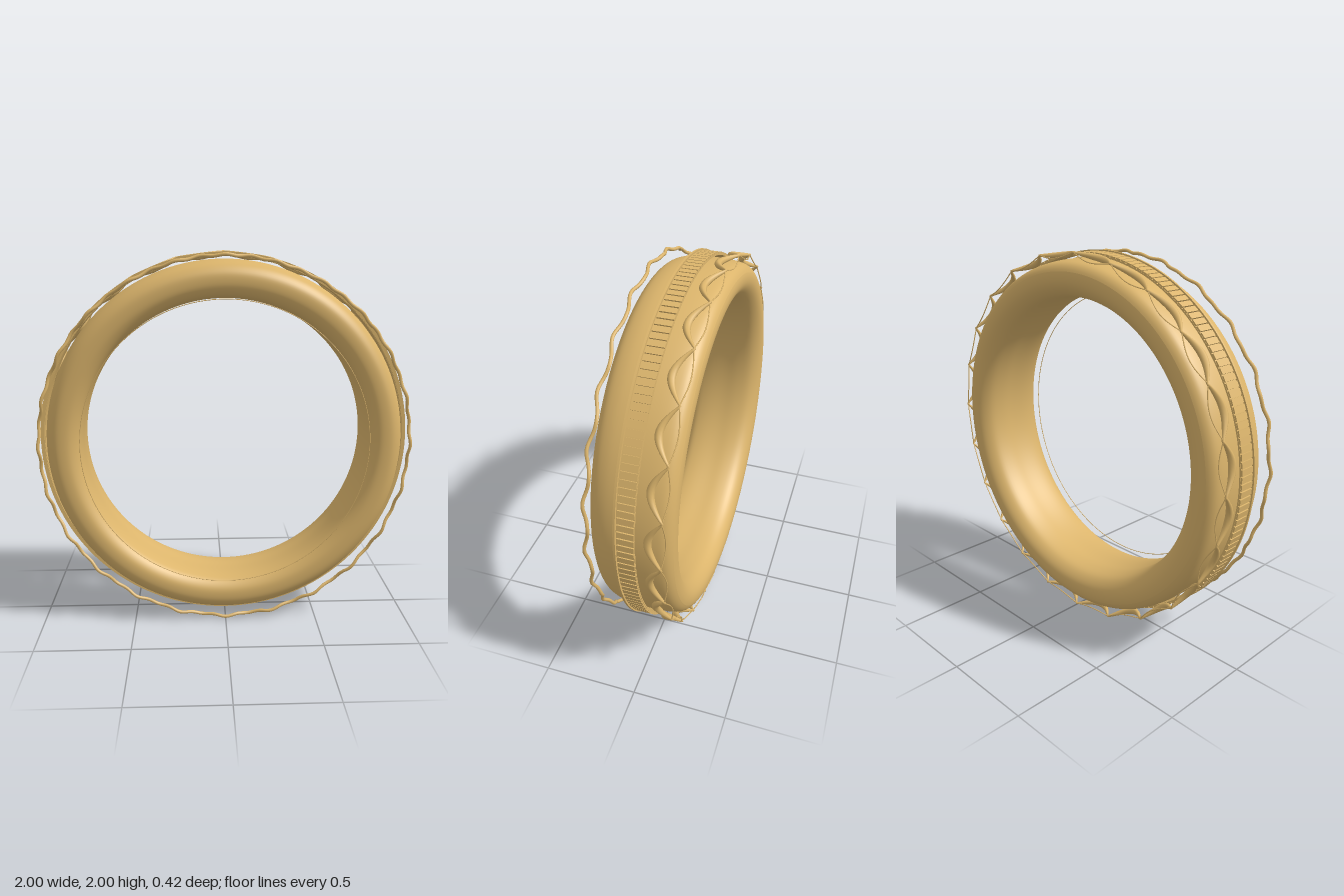
import * as THREE from 'three';
import { mergeGeometries } from 'three/addons/utils/BufferGeometryUtils.js';

const WAVES = 24;

// Turn a closed (radius, z) outline about the z axis
function turned(points, segments = 192) {
  const g = new THREE.LatheGeometry(points, segments);
  g.rotateX(Math.PI / 2);
  return g;
}

// Rectangular hoop with crisp edges: outer, front, inner and back faces
function hoop(r0, r1, z0, z1) {
  const c = [[r1, z0], [r1, z1], [r0, z1], [r0, z0]].map(p => new THREE.Vector2(...p));
  return mergeGeometries(c.map((p, i) => turned([p, c[(i + 1) % 4]])));
}

// Closed strand round the z axis; rule(t) gives centre r, z and half thicknesses,
// where t runs 0..1 along each wave
function strand(rule, perWave = 16, sides = 8) {
  const n = WAVES * perWave, pos = [], idx = [];
  for (let i = 0; i < n; i++) {
    const u = i / n * Math.PI * 2;
    const { r, z, hr, hz } = rule((i % perWave) / perWave);
    for (let j = 0; j < sides; j++) {
      const v = j / sides * Math.PI * 2, rad = r + hr * Math.cos(v);
      pos.push(rad * Math.cos(u), rad * Math.sin(u), z + hz * Math.sin(v));
      const i2 = (i + 1) % n, j2 = (j + 1) % sides;
      const a = i * sides + j, b = i2 * sides + j, c = i2 * sides + j2, d = i * sides + j2;
      idx.push(a, b, c, a, c, d);
    }
  }
  const g = new THREE.BufferGeometry();
  g.setAttribute('position', new THREE.Float32BufferAttribute(pos, 3));
  g.setIndex(idx);
  g.computeVertexNormals();
  return g;
}

export function createModel() {
  const gold = new THREE.MeshStandardMaterial({ color: 0xdcb56c });
  gold.name = 'gold';
  const model = new THREE.Group();
  model.name = 'ring';
  const add = (name, geometry) => {
    const m = new THREE.Mesh(geometry, gold);
    m.name = name;
    m.position.y = 1;
    model.add(m);
  };

  // Rounded body of the ring
  const outline = [
    [0.90, -0.203], [0.935, -0.175], [0.95, -0.12], [0.955, 0], [0.953, 0.06],
    [0.945, 0.12], [0.925, 0.17], [0.89, 0.2], [0.85, 0.207], [0.81, 0.2],
    [0.775, 0.17], [0.76, 0.11], [0.76, 0], [0.76, -0.08], [0.775, -0.15],
    [0.81, -0.19], [0.85, -0.207],
  ].map(([r, z]) => new THREE.Vector3(r, z, 0));
  const curve = new THREE.CatmullRomCurve3(outline, true);
  add('body', turned(curve.getPoints(72).map(p => new THREE.Vector2(p.x, p.y))));

  // Middle band, its rim and the milled ribs
  add('middleBand', hoop(0.968, 0.976, -0.045, 0.045));
  add('bandRim', hoop(0.97, 0.99, 0.042, 0.053));
  const ribs = [], count = 168;
  for (let i = 0; i < count; i++) {
    const rib = new THREE.BoxGeometry(0.012, 0.03, 0.082);
    rib.translate(0.978, 0, -0.003);
    rib.rotateZ(i / count * Math.PI * 2);
    ribs.push(rib);
  }
  add('bandRibs', mergeGeometries(ribs));

  // Fine wavy wire at the front
  add('frontWire', strand(t => ({
    r: 0.974 + 0.004 * Math.cos(4 * Math.PI * t),
    z: 0.189 + 0.012 * Math.cos(2 * Math.PI * t), hr: 0.009, hz: 0.009,
  })));

  // Scalloped leaves at the back, thick in the middle and thin at the cusps
  add('backLeaves', strand(t => {
    const s = Math.sin(Math.PI * t);
    return { r: 0.992 - 0.018 * s, z: -0.175 + 0.07 * s, hr: 0.006 + 0.012 * s, hz: 0.006 + 0.013 * s };
  }));

  // Thin wire arching the other way behind the leaves
  add('backWire', strand(t => {
    const s = Math.sin(Math.PI * t);
    return { r: 0.992 - 0.03 * s, z: -0.172 - 0.015 * s, hr: 0.003, hz: 0.003 };
  }, 12, 6));

  // Hairline hoop at the front of the opening
  add('innerHairline', new THREE.TorusGeometry(0.76, 0.002, 6, 160).translate(0, 0, 0.205));

  return model;
}
